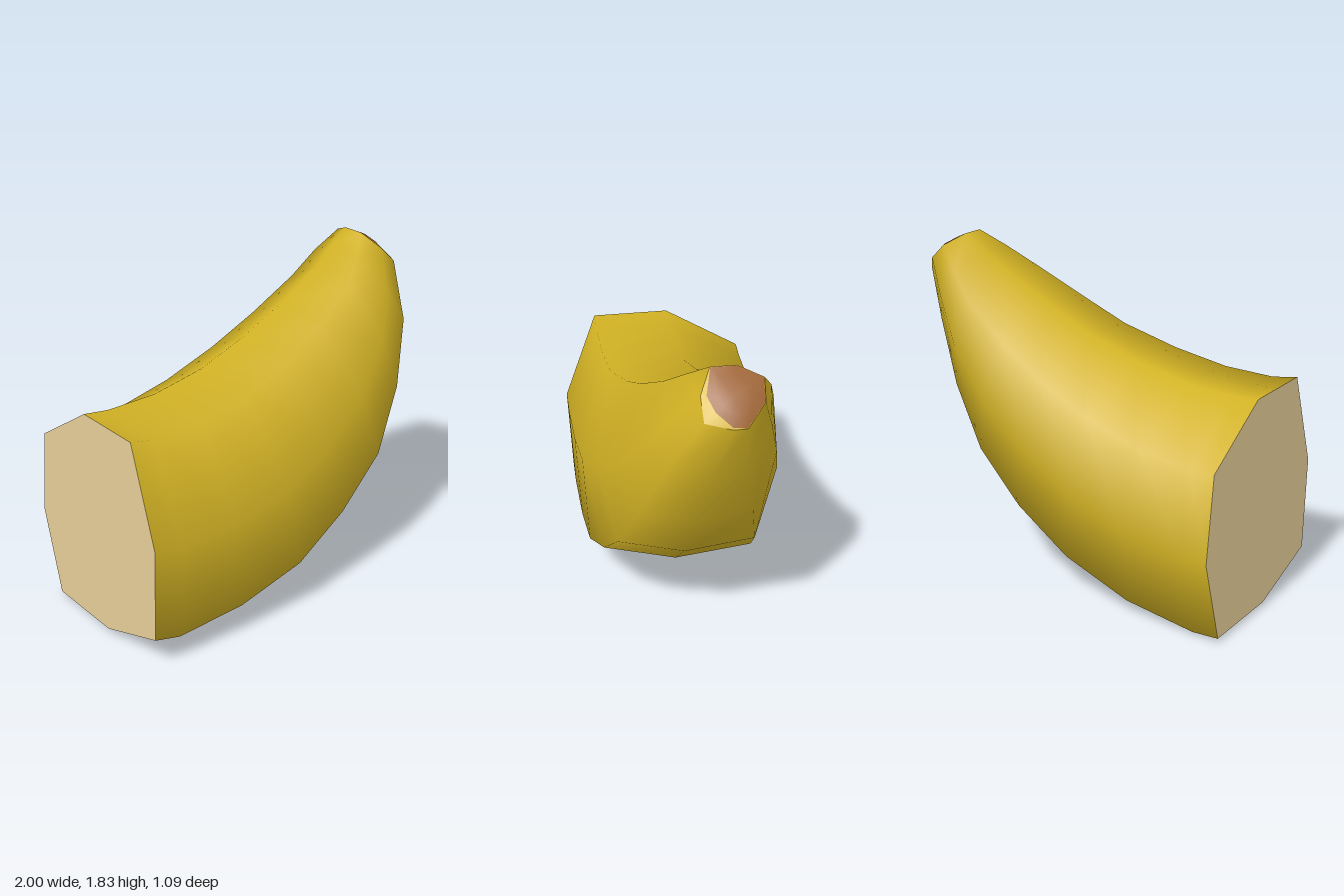
import * as THREE from 'three';

// Eight-sided cross-section: [across (-1..1), from outer curve (0) to inner curve (1)]
const SECTION = [
  [-0.74, 0], [0.14, 0], [0.96, 0.13], [1, 0.56],
  [0.66, 1], [-0.12, 1], [-0.9, 0.78], [-1, 0.39],
];

// Rings from the cut to the stalk: outer x, y, inner x, y, back z, front z,
// lean of the inner side in z, tuck of the lower back corner in z, tilt across
const RINGS = [
  [-1, 0.02, -1, 1.2, -0.545, 0.54, 0, 0, 0],
  [-0.85, 0.0, -0.86, 1.185, -0.54, 0.54, 0, 0, 0.012],
  [-0.44, 0.05, -0.58, 1.2, -0.53, 0.535, 0, 0, 0.022],
  [-0.04, 0.18, -0.28, 1.265, -0.51, 0.525, -0.01, 0, 0.036],
  [0.3, 0.38, 0.01, 1.37, -0.47, 0.475, -0.03, 0, 0.046],
  [0.59, 0.64, 0.27, 1.5, -0.425, 0.43, -0.045, 0.01, 0.048],
  [0.79, 0.97, 0.53, 1.65, -0.365, 0.338, -0.06, 0.03, 0.045],
  [0.93, 1.32, 0.655, 1.745, -0.315, 0.22, -0.06, 0.07, 0.04],
  [1.0, 1.615, 0.77, 1.825, -0.285, 0.04, -0.01, 0.1, 0],
];

// How far each corner of the brown patch lies inside the end of the peel
const PATCH_INSET = [0.02, 0.06, 0.38, 0.18, 0.02, 0.02, 0.02, 0.02];

function ringPoints([ox, oy, ix, iy, back, front, lean, tuck, tilt]) {
  return SECTION.map(([u, v]) => {
    const w = v - tilt * u;
    return new THREE.Vector3(
      ox + (ix - ox) * w,
      oy + (iy - oy) * w,
      (back + front) / 2 + u * (front - back) / 2 + lean * v
        + tuck * Math.max(0, -u) * (1 - v) ** 3,
    );
  });
}

// Smooth skin joining a list of rings, optionally closed by a last point
function loft(rings, tip) {
  const n = SECTION.length;
  const points = rings.flat();
  const index = [];
  for (let i = 0; i < rings.length - 1; i++) {
    for (let j = 0; j < n; j++) {
      const a = i * n + j, b = i * n + (j + 1) % n;
      index.push(a, a + n, b, b, a + n, b + n);
    }
  }
  if (tip) {
    const last = (rings.length - 1) * n;
    points.push(tip);
    for (let j = 0; j < n; j++) index.push(last + j, points.length - 1, last + (j + 1) % n);
  }
  const geometry = new THREE.BufferGeometry().setFromPoints(points);
  geometry.setIndex(index);
  geometry.computeVertexNormals();
  return geometry;
}

export function createModel() {
  const group = new THREE.Group();
  group.name = 'halfBanana';
  const peelYellow = new THREE.MeshStandardMaterial({ color: 0xd2b224 });
  const stalkBrown = new THREE.MeshStandardMaterial({ color: 0x9e6434 });
  const fleshCream = new THREE.MeshStandardMaterial({ color: 0xe8d09a });
  peelYellow.name = 'peelYellow';
  stalkBrown.name = 'stalkBrown';
  fleshCream.name = 'fleshCream';

  const add = (name, geometry, material) => {
    const mesh = new THREE.Mesh(geometry, material);
    mesh.name = name;
    group.add(mesh);
  };

  // Curved, tapering peel
  const rings = RINGS.map(ringPoints);
  add('peel', loft(rings), peelYellow);

  // Domed stalk end: a narrow yellow rim around a brown patch
  const end = rings[rings.length - 1];
  const centre = end.reduce((sum, p) => sum.add(p), new THREE.Vector3()).divideScalar(end.length);
  const out = new THREE.Vector3(0.65, 0.76, 0);
  const inset = (amounts) => end.map((p, i) => p.clone()
    .lerp(centre, amounts[i]).addScaledVector(out, 0.03 * Math.min(1, amounts[i] * 1.8)));
  const patch = inset(PATCH_INSET);
  const crown = inset(PATCH_INSET.map((a) => a + (1 - a) * 0.4));
  add('stalkRim', loft([end, patch]), peelYellow);
  add('stalkEnd', loft([patch, crown], centre.clone().addScaledVector(out, 0.03)), stalkBrown);

  // Flat cut face, turned to look along -x
  const cut = new THREE.Shape(rings[0].map((p) => new THREE.Vector2(p.z, p.y)));
  const cutFace = new THREE.ShapeGeometry(cut);
  cutFace.rotateY(-Math.PI / 2);
  cutFace.translate(-1, 0, 0);
  add('cutFace', cutFace, fleshCream);

  return group;
}
